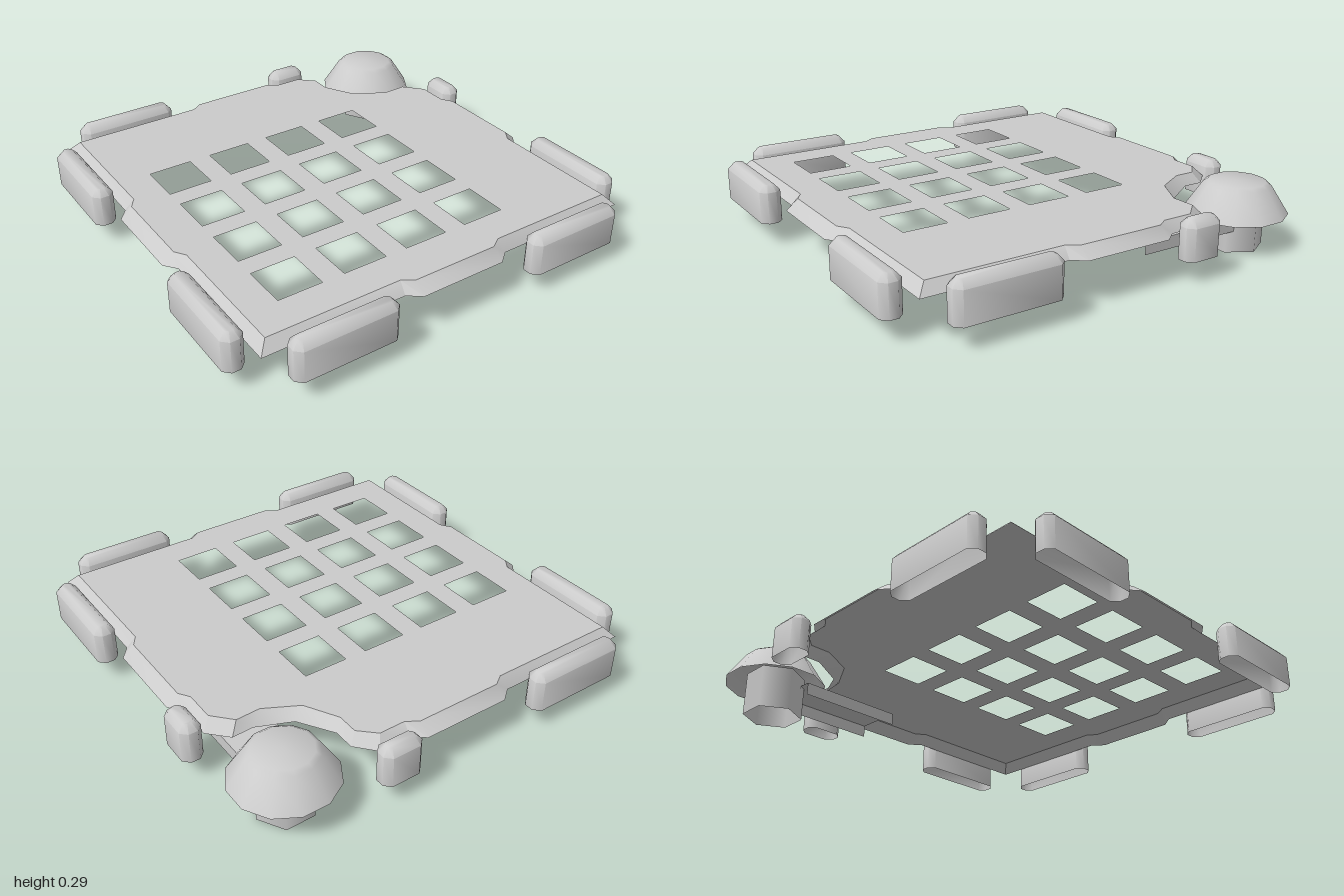
import * as THREE from 'three';
import { toCreasedNormals } from 'three/addons/utils/BufferGeometryUtils.js';

const material = new THREE.MeshStandardMaterial({ color: 0xcccccc, side: THREE.DoubleSide });

function addMesh(parent, name, geometry, x = 0, y = 0, z = 0) {
  const mesh = new THREE.Mesh(geometry, material);
  mesh.name = name;
  mesh.position.set(x, y, z);
  parent.add(mesh);
  return mesh;
}

// Skins a stack of rings { y, points: [x, z] }, listed bottom to top; open below
function loft(rings, capped, crease) {
  const n = rings[0].points.length;
  const positions = [], index = [];
  rings.forEach(r => r.points.forEach(([x, z]) => positions.push(x, r.y, z)));
  for (let k = 0; k < rings.length - 1; k++) {
    for (let i = 0; i < n; i++) {
      const a = k * n + i, b = k * n + (i + 1) % n, c = b + n, d = a + n;
      index.push(a, d, c, a, c, b);
    }
  }
  if (capped) {
    const first = (rings.length - 1) * n;
    for (let i = 1; i < n - 1; i++) index.push(first, first + i + 1, first + i);
  }
  const geometry = new THREE.BufferGeometry();
  geometry.setAttribute('position', new THREE.Float32BufferAttribute(positions, 3));
  geometry.setIndex(index);
  return toCreasedNormals(geometry, crease);
}

// Rectangle with cut corners, half sizes w and d
function cutRectangle(w, d, c) {
  return [[-w, -d + c], [-w + c, -d], [w - c, -d], [w, -d + c],
    [w, d - c], [w - c, d], [-w + c, d], [-w, d - c]];
}

// Plate outline; inset pulls the straight sides and tabs in, notch is the cut-out corner
function plateOutline(side, tab, tabFoot, notch) {
  const s = side, t = tab, f = tabFoot;
  return [
    [-s, -s], [-f, -s], [-0.2, -t], [0.2, -t], [f, -s],
    ...notch,
    [s, -f], [t, -0.2], [t, 0.2], [s, f],
    [s, s], [f, s], [0.2, t], [-0.2, t], [-f, s],
    [-s, s], [-s, f], [-t, 0.2], [-t, -0.2], [-s, -f],
  ];
}

function addDeck(group) {
  const lower = plateOutline(0.9, 0.945, 0.257,
    [[0.4, -0.9], [0.475, -0.815], [0.475, -0.72], [0.57, -0.57], [0.725, -0.505], [0.82, -0.51], [0.9, -0.425]]);
  const upper = plateOutline(0.857, 0.89, 0.25,
    [[0.37, -0.857], [0.44, -0.79], [0.44, -0.695], [0.52, -0.55], [0.67, -0.47], [0.78, -0.475], [0.857, -0.39]]);

  // Flat top with a four by four grid of square openings
  const shape = new THREE.Shape(upper.map(([x, z]) => new THREE.Vector2(x, -z)));
  const h = 0.101;
  for (let i = 0; i < 4; i++) {
    for (let j = 0; j < 4; j++) {
      const x = -0.607 + i * 0.304, y = 0.3 - j * 0.3;
      shape.holes.push(new THREE.Path([[-h, -h], [-h, h], [h, h], [h, -h]]
        .map(([u, v]) => new THREE.Vector2(x + u, y + v))));
    }
  }
  const top = new THREE.ShapeGeometry(shape);
  top.rotateX(-Math.PI / 2);
  addMesh(group, 'deckTop', top, 0, 0.243, 0);

  // Sloping rim
  addMesh(group, 'deckRim', loft([{ y: 0.197, points: lower }, { y: 0.243, points: upper }], false, 0.5));
}

function addBumpers(group) {
  // Long direction from a to b, on the side given by turns of a quarter circle
  const bumpers = [
    ['frontBumper', 'x', 1, -0.81, -0.34], ['frontBumper', 'x', 1, 0.34, 0.81],
    ['backBumper', 'x', -1, -0.81, -0.34], ['backBumperShort', 'x', -1, 0.255, 0.44],
    ['rightSideBumper', 'z', -1, -0.81, -0.34], ['rightSideBumper', 'z', -1, 0.335, 0.81],
    ['leftSideBumper', 'z', 1, 0.335, 0.81], ['leftSideBumperShort', 'z', 1, -0.445, -0.265],
  ];
  for (const [name, axis, side, a, b] of bumpers) {
    const length = (b - a) / 2, middle = (a + b) / 2, half = 0.048;
    const alongX = axis === 'x';
    const ring = (y, inset, cut) => ({
      y,
      points: alongX ? cutRectangle(length - inset, half - inset, cut) : cutRectangle(half - inset, length - inset, cut),
    });
    const geometry = loft([ring(0.097, 0, 0.028), ring(0.24, 0, 0.028), ring(0.27, 0.026, 0.013)], true, 1);
    const edge = side * (1 - half);
    addMesh(group, name, geometry, alongX ? middle : edge, 0, alongX ? edge : middle);
  }
}

function addCornerPost(group) {
  const post = new THREE.Group();
  post.name = 'cornerPost';
  post.position.set(0.748, 0, -0.763);
  group.add(post);

  // Six-sided stem, open below, with points towards the sides
  const stem = new THREE.CylinderGeometry(0.13, 0.13, 0.2, 6, 1, true, Math.PI / 2);
  addMesh(post, 'stem', stem, 0, 0.1, 0);

  // Conical cap with a softened top edge
  const profile = [[0.228, 0.155], [0.147, 0.28], [0.125, 0.294], [0, 0.295]]
    .map(([r, y]) => new THREE.Vector2(r, y));
  addMesh(post, 'cap', toCreasedNormals(new THREE.LatheGeometry(profile, 12, Math.PI / 12), 0.6));

  // Channel-shaped arm reaching under the deck
  const arm = new THREE.Group();
  arm.name = 'arm';
  arm.position.set(0.72, 0, -0.43);
  group.add(arm);
  const top = new THREE.PlaneGeometry(0.22, 0.5);
  top.rotateX(-Math.PI / 2);
  addMesh(arm, 'armTop', top, 0, 0.154, 0);
  for (const s of [-1, 1]) {
    const wall = new THREE.PlaneGeometry(0.5, 0.057);
    wall.rotateY(s * Math.PI / 2);
    addMesh(arm, 'armWall', wall, s * 0.11, 0.1255, 0);
  }
}

export function createModel() {
  const group = new THREE.Group();
  group.name = 'gridPlatform';
  addDeck(group);
  addBumpers(group);
  addCornerPost(group);
  return group;
}
